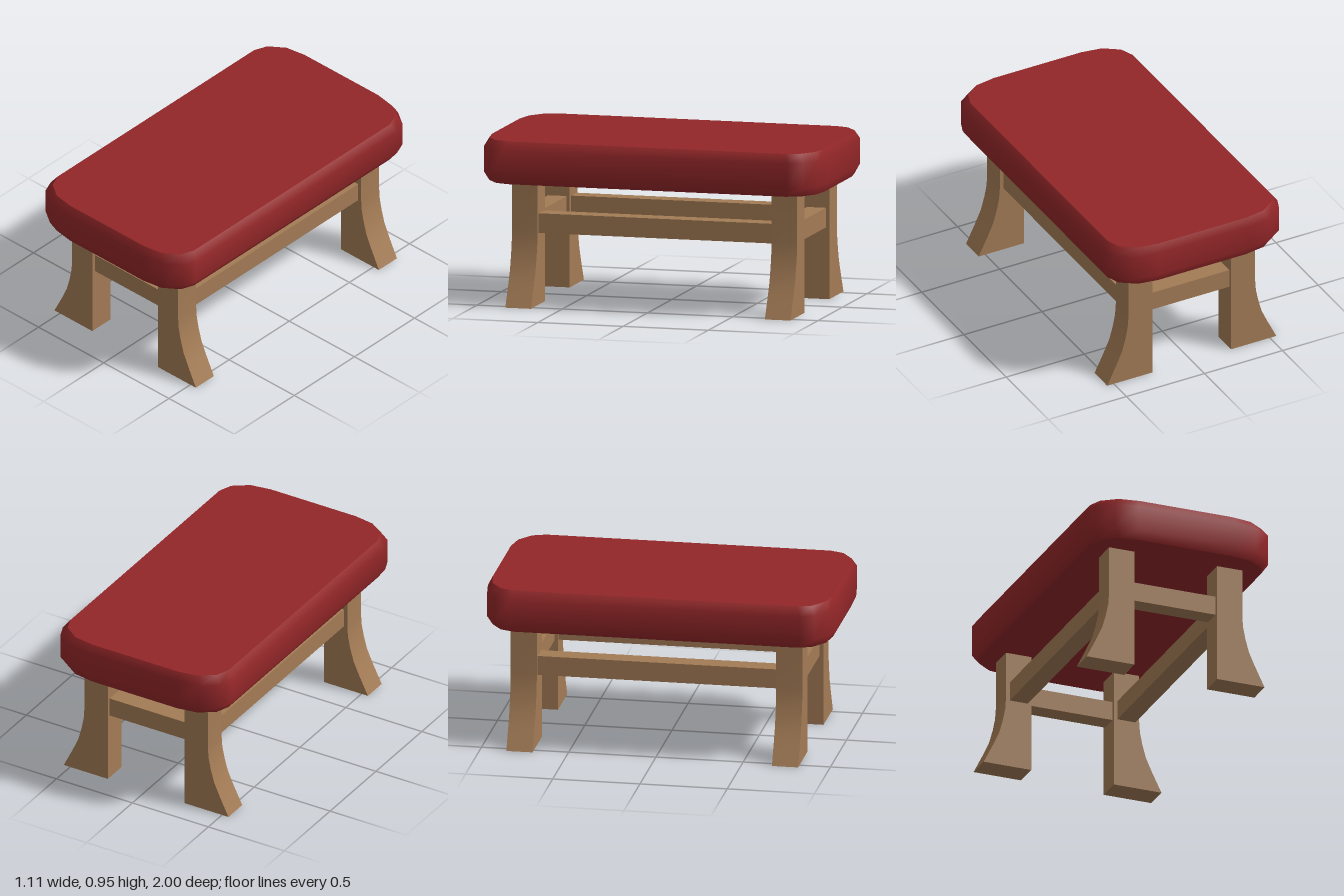
import * as THREE from 'three';
import { toCreasedNormals } from 'three/addons/utils/BufferGeometryUtils.js';

// Padded seat: a rounded outline lofted through four levels, with flat caps
function seatGeometry() {
  const corner = [[0.557, 0.835], [0.525, 0.915], [0.43, 0.98], [0.3, 1]];
  const back = [...corner].reverse();
  const outline = [
    ...corner,
    ...back.map(([x, z]) => [-x, z]),
    ...corner.map(([x, z]) => [-x, -z]),
    ...back.map(([x, z]) => [x, -z]),
  ];
  const levels = [[0.702, 0.935, 0.975], [0.755, 1, 1], [0.898, 1, 1], [0.946, 0.935, 0.975]];
  const n = outline.length;
  const positions = [];
  const indices = [];
  const addRing = ([y, sx, sz]) => {
    const start = positions.length / 3;
    outline.forEach(([x, z]) => positions.push(x * sx, y, z * sz));
    return start;
  };

  // soft sides share vertices so they shade smoothly
  const rings = levels.map(addRing);
  for (let k = 0; k < rings.length - 1; k++) {
    for (let i = 0; i < n; i++) {
      const j = (i + 1) % n;
      const a = rings[k] + i, b = rings[k] + j, c = rings[k + 1] + i, d = rings[k + 1] + j;
      indices.push(a, c, b, b, c, d);
    }
  }

  // caps have their own vertices so their rims stay sharp
  [levels[0], levels[3]].forEach((level, top) => {
    const start = addRing(level);
    positions.push(0, level[0], 0);
    for (let i = 0; i < n; i++) {
      const j = (i + 1) % n;
      if (top) indices.push(start + n, start + j, start + i);
      else indices.push(start + n, start + i, start + j);
    }
  });

  const geometry = new THREE.BufferGeometry();
  geometry.setAttribute('position', new THREE.Float32BufferAttribute(positions, 3));
  geometry.setIndex(indices);
  geometry.computeVertexNormals();
  return geometry;
}

// Leg with a straight inner edge and an outward flare at the foot
function legGeometry(side) {
  const profile = [
    [0.252, 0], [0.542, 0], [0.483, 0.12], [0.447, 0.2], [0.425, 0.28],
    [0.411, 0.35], [0.406, 0.42], [0.406, 0.71], [0.252, 0.71],
  ];
  const shape = new THREE.Shape(profile.map(([x, y]) => new THREE.Vector2(side * x, y)));
  const geometry = new THREE.ExtrudeGeometry(shape, { depth: 0.15, bevelEnabled: false });
  return toCreasedNormals(geometry, 0.6);
}

export function createModel() {
  const model = new THREE.Group();
  model.name = 'bench';

  const wood = new THREE.MeshStandardMaterial({ color: 0xa37b55 });
  wood.name = 'wood';
  const upholstery = new THREE.MeshStandardMaterial({ color: 0x922628 });
  upholstery.name = 'red upholstery';

  const add = (name, geometry, material, x = 0, y = 0, z = 0) => {
    const mesh = new THREE.Mesh(geometry, material);
    mesh.name = name;
    mesh.position.set(x, y, z);
    model.add(mesh);
  };

  add('seat', seatGeometry(), upholstery);

  // Legs and the long rails joining them on each side
  for (const [sideName, side] of [['left', 1], ['right', -1]]) {
    const leg = legGeometry(side);
    add(`${sideName}FrontLeg`, leg, wood, 0, 0, 0.672);
    add(`${sideName}BackLeg`, leg, wood, 0, 0, -0.85);
    add(`${sideName}LongRail`, new THREE.BoxGeometry(0.11, 0.112, 1.38), wood, side * 0.328, 0.465, -0.014);
  }

  // Short rails across the ends
  add('frontCrossRail', new THREE.BoxGeometry(0.51, 0.112, 0.11), wood, 0, 0.465, 0.745);
  add('backCrossRail', new THREE.BoxGeometry(0.51, 0.112, 0.11), wood, 0, 0.465, -0.775);

  return model;
}
